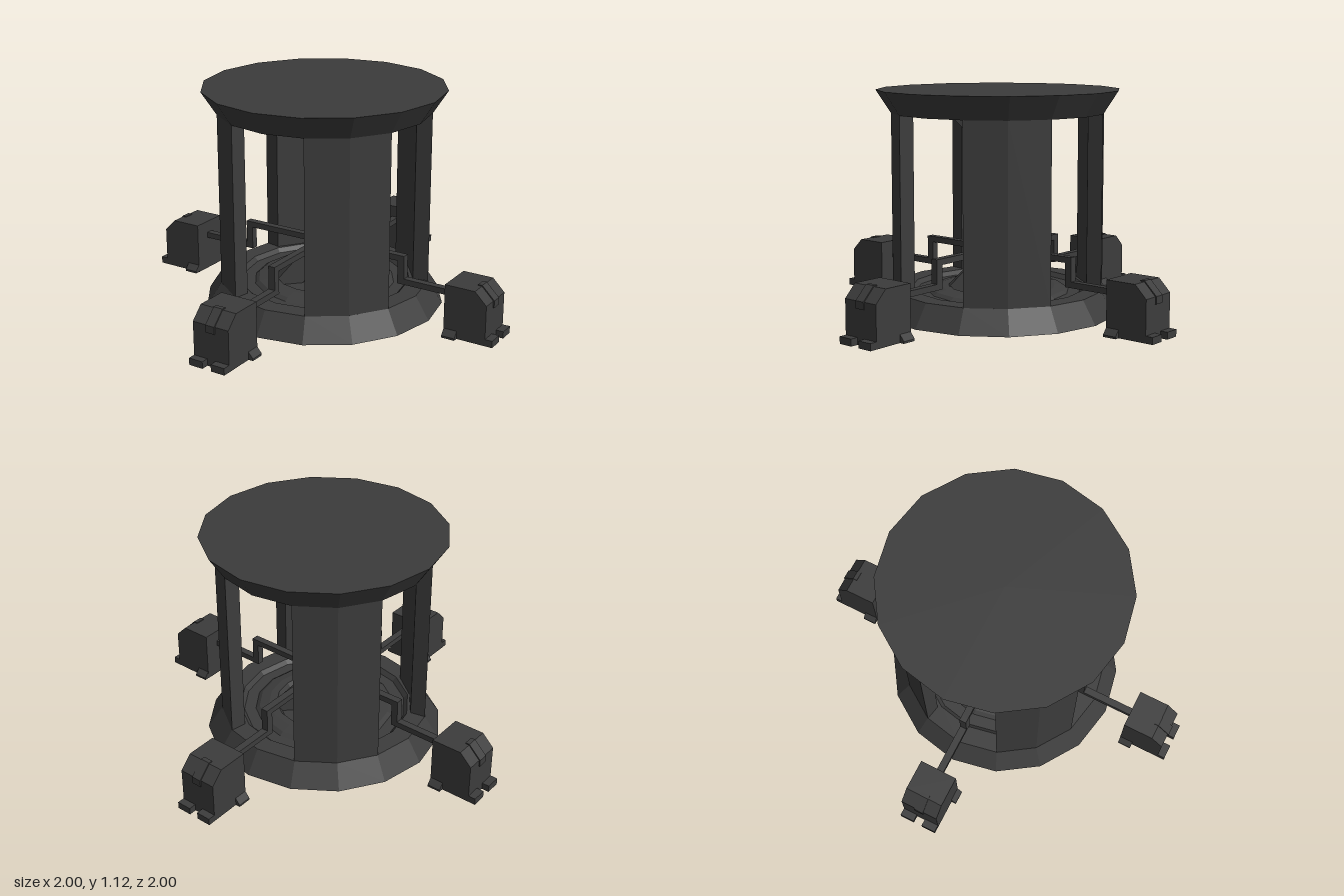
import * as THREE from 'three';

const darkMetal = new THREE.MeshStandardMaterial({ color: 0x3c3c3c, flatShading: true });
darkMetal.name = 'dark metal';
const H = 1.125; // mirror height: y -> H - y

function add(parent, name, geometry, x = 0, y = 0, z = 0) {
  const mesh = new THREE.Mesh(geometry, darkMetal);
  mesh.name = name;
  mesh.position.set(x, y, z);
  parent.add(mesh);
  return mesh;
}

function extrude(points, depth) {
  const shape = new THREE.Shape(points.map(([x, y]) => new THREE.Vector2(x, y)));
  return new THREE.ExtrudeGeometry(shape, { depth, bevelEnabled: false });
}

const lathe = (points, sides, start = 0) =>
  new THREE.LatheGeometry(points.map(([r, y]) => new THREE.Vector2(r, y)), sides, start);

const box = (w, h, d) => new THREE.BoxGeometry(w, h, d);

// Tapered strut leaning from the hub out to the ring
function strutGeometry() {
  const g = box(1, 1, 1);
  const p = g.attributes.position;
  for (let i = 0; i < p.count; i++) {
    const low = p.getY(i) < 0, outer = p.getX(i) > 0, side = Math.sign(p.getZ(i));
    const r = low ? (outer ? 0.055 : 0) : (outer ? 0.285 : 0.12);
    p.setXYZ(i, r, low ? 0.8 : 1.035, side * (low ? 0.015 : 0.032));
  }
  return g;
}

// Corner unit with chamfered top, feet and a bent feed pipe, facing +x
function createUnit() {
  const unit = new THREE.Group();
  unit.name = 'sideUnit';
  const bodyProfile = [[0.742, 0], [0.962, 0], [0.962, 0.205], [0.9, 0.267], [0.742, 0.267]];
  const stripProfile = [[0.88, 0.17], [0.968, 0.17], [0.968, 0.207], [0.902, 0.272], [0.88, 0.272]];
  add(unit, 'unitBody', extrude(bodyProfile, 0.2), 0, 0, -0.1);
  add(unit, 'unitStrip', extrude(stripProfile, 0.05), 0, 0, -0.025);
  for (const s of [-1, 1]) {
    add(unit, 'unitFoot', box(0.07, 0.035, 0.076), 0.965, 0.0175, s * 0.062);
    const flare = extrude([[-0.03, 0], [0.025, 0], [0.025, 0.01], [0, 0.04], [-0.03, 0.04]], 0.07);
    flare.rotateY(s > 0 ? -Math.PI / 2 : Math.PI / 2);
    add(unit, 'unitFlare', flare, s > 0 ? 0.813 : 0.743, 0, s * 0.1);
  }
  add(unit, 'feedPipe', box(0.32, 0.03, 0.037), 0.6, 0.19, 0);
  add(unit, 'pipeRiser', box(0.037, 0.15, 0.037), 0.457, 0.25, 0);
  add(unit, 'innerPipe', box(0.44, 0.03, 0.037), 0.23, 0.31, 0);
  return unit;
}

export function createModel() {
  const model = new THREE.Group();
  model.name = 'chamber';

  // Stepped inner face shared by base and cap; the base is hollow beneath
  const steps = [[0.535, 0.122], [0.44, 0.122], [0.42, 0.1], [0.36, 0.1], [0.34, 0.115],
    [0.29, 0.125], [0.25, 0.125], [0.23, 0.095], [0, 0.095]];
  const underside = [[0, 0.08], [0.33, 0.08], [0.36, 0.09], [0.49, 0.09], [0.59, 0.006], [0.61, 0.006]];
  add(model, 'base', lathe([...underside, ...steps], 16));
  const mirrored = steps.map(([r, y]) => [r, H - y]).reverse();
  add(model, 'cap', lathe([...mirrored, [0.61, 1.119], [0, 1.119]], 16));

  // Four folded wall panels on the diagonals
  const panel = extrude([[0.187, 0.417], [0.318, 0.318], [0.417, 0.187], [0.496, 0.203],
    [0.378, 0.378], [0.203, 0.496]], 0.892);
  panel.rotateX(-Math.PI / 2);

  // Lower strut is the upper one turned upside down
  const upperStrut = strutGeometry();
  const lowerStrut = strutGeometry().rotateX(Math.PI);

  for (let i = 0; i < 4; i++) {
    const turn = i * Math.PI / 2;
    add(model, 'wallPanel', panel, 0, 0.116, 0).rotation.y = turn;
    const unit = createUnit();
    unit.rotation.y = turn;
    model.add(unit);
    add(model, 'upperStrut', upperStrut).rotation.y = turn + Math.PI / 4;
    add(model, 'lowerStrut', lowerStrut, 0, H, 0).rotation.y = turn + Math.PI / 4;
  }

  // Opposed emitters on the axis, flat side to the front
  const emitter = [[0, 0.235], [0.032, 0.235], [0.032, 0.325], [0.049, 0.325], [0.07, 0.43],
    [0.058, 0.43], [0.058, 0.495], [0, 0.495]];
  add(model, 'lowerEmitter', lathe(emitter, 8, Math.PI / 8));
  add(model, 'upperEmitter', lathe(emitter.map(([r, y]) => [r, H - y]).reverse(), 8, Math.PI / 8));
  add(model, 'centreRod', new THREE.CylinderGeometry(0.018, 0.018, 0.16, 8), 0, H / 2, 0);

  return model;
}
